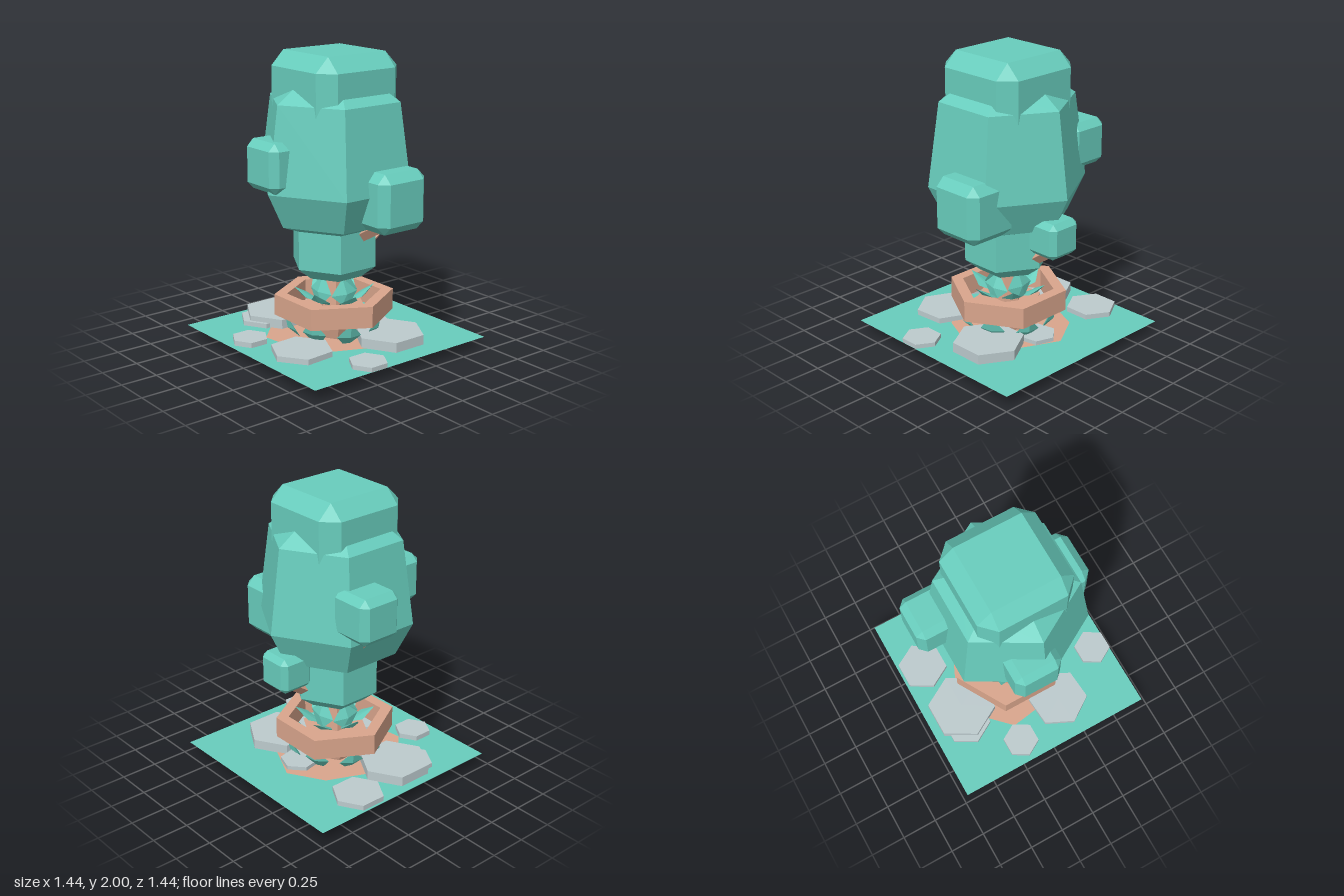
import * as THREE from 'three';
import { ConvexGeometry } from 'three/addons/geometries/ConvexGeometry.js';

const mat = (color) => new THREE.MeshStandardMaterial({ color, flatShading: true, side: THREE.DoubleSide });
const V = (x, y, z) => new THREE.Vector3(x, y, z);

export function createModel() {
  const root = new THREE.Group();
  const leaf = mat(0x68cdbd), wood = mat(0xd9a58c), stone = mat(0xbccacd);

  const add = (name, geometry, material, parent = root) => {
    const mesh = new THREE.Mesh(geometry, material);
    mesh.name = name;
    parent.add(mesh);
    return mesh;
  };

  // Six-sided lathe with one corner pointing at +z
  const hexLathe = (profile) =>
    new THREE.LatheGeometry(profile.map(([r, y]) => new THREE.Vector2(r, y)), 6);

  // Box with bevelled edges and triangular corners, from its limits
  const bevelBox = ([x0, x1], [y0, y1], [z0, z1], b) => {
    const h = [(x1 - x0) / 2, (y1 - y0) / 2, (z1 - z0) / 2];
    const pts = [];
    for (const sx of [-1, 1]) for (const sy of [-1, 1]) for (const sz of [-1, 1])
      for (let face = 0; face < 3; face++) {
        const p = h.map((v, i) => (i === face ? v : v - b));
        pts.push(V(sx * p[0], sy * p[1], sz * p[2]));
      }
    return new ConvexGeometry(pts).translate((x0 + x1) / 2, (y0 + y1) / 2, (z0 + z1) / 2);
  };

  // Square stick between two points
  const stick = (name, a, b, r) => {
    const m = add(name, new THREE.CylinderGeometry(r, r, a.distanceTo(b), 4), wood);
    m.position.copy(a).lerp(b, 0.5);
    m.quaternion.setFromUnitVectors(V(0, 1, 0), b.clone().sub(a).normalize());
  };

  // Ground sheet with a patch of bare earth
  const ground = add('ground', new THREE.PlaneGeometry(1.44, 1.44), leaf);
  ground.rotation.x = -Math.PI / 2;
  ground.position.y = 0.08;
  const patch = [[0.4, 0.02], [0.3, 0.25], [0.08, 0.4], [-0.18, 0.44], [-0.36, 0.26],
    [-0.4, -0.05], [-0.28, -0.32], [-0.04, -0.46], [0.24, -0.33]];
  const earth = add('earthPatch', new THREE.ShapeGeometry(
    new THREE.Shape(patch.map(([x, z]) => new THREE.Vector2(x, -z)))), wood);
  earth.rotation.x = -Math.PI / 2;
  earth.position.y = 0.083;

  // Irregular mound of soil under the sheet
  const foot = [[0.29, -0.13], [0.14, -0.24], [-0.12, -0.25], [-0.18, -0.14],
    [-0.18, 0.05], [-0.05, 0.24], [0.13, 0.24], [0.25, 0.06]];
  const rim = [[0.37, -0.17], [0.19, -0.34], [-0.2, -0.36], [-0.38, -0.25],
    [-0.34, 0.09], [-0.1, 0.39], [0.17, 0.4], [0.35, 0.1]];
  add('soilMound', new ConvexGeometry([
    ...foot.map(([x, z]) => V(x, 0, z)), ...rim.map(([x, z]) => V(x, 0.079, z))]), wood);

  // Flat paving stones: x, z, radius, top height, turn
  const stones = new THREE.Group();
  stones.name = 'stones';
  root.add(stones);
  [[-0.55, -0.275, 0.175, 0.115, 0], [-0.45, 0.14, 0.24, 0.147, 0], [-0.47, 0.25, 0.17, 0.112, 0],
    [-0.195, 0.56, 0.125, 0.115, 0], [0.19, 0.42, 0.21, 0.118, 0.08], [0.36, -0.185, 0.24, 0.147, 0],
    [0.605, 0.205, 0.13, 0.11, 0], [0.02, -0.3, 0.13, 0.11, 0.2]]
    .forEach(([x, z, r, top, turn]) => {
      const s = add('stone', new THREE.CylinderGeometry(r, r, top - 0.078, 6), stone, stones);
      s.position.set(x, (top + 0.078) / 2, z);
      s.rotation.y = turn;
    });

  // Planter: open six-sided frame around a tapered tub
  const hexPath = (P, r) => {
    const path = new P();
    for (let i = 0; i < 6; i++) {
      const a = (i * Math.PI) / 3;
      path[i ? 'lineTo' : 'moveTo'](r * Math.cos(a), r * Math.sin(a));
    }
    path.closePath();
    return path;
  };
  const frame = hexPath(THREE.Shape, 0.405);
  frame.holes.push(hexPath(THREE.Path, 0.32));
  add('planterFrame', new THREE.ExtrudeGeometry(frame, { depth: 0.145, bevelEnabled: false })
    .rotateX(-Math.PI / 2).translate(0, 0.22, 0), wood);
  add('planterTub', new THREE.CylinderGeometry(0.23, 0.17, 0.19, 6).translate(0, 0.175, 0), wood);

  // Trunk and branches
  add('trunk', new THREE.CylinderGeometry(0.075, 0.1, 0.36, 6).translate(0, 0.4, 0), wood);
  stick('rightBranch', V(-0.25, 0.93, -0.13), V(-0.52, 1.2, -0.15), 0.038);
  stick('leftBranch', V(0.17, 0.77, -0.04), V(0.5, 0.96, -0.08), 0.045);
  stick('backBranch', V(0, 0.6, -0.2), V(0, 0.78, -0.46), 0.045);

  // Pointed leaves: each is a ridged blade leaning outward
  const blade = (w, h, lean) => new ConvexGeometry([
    V(-w * 0.3, 0, 0), V(w * 0.3, 0, 0), V(-w, h * 0.4, lean * 0.5), V(w, h * 0.4, lean * 0.5),
    V(0, h * 0.4, lean * 0.5 + 0.03), V(0, h, lean)]);
  const leafRing = (name, count, turn, r, y, w, h, lean) => {
    const ring = new THREE.Group();
    ring.name = name;
    root.add(ring);
    for (let i = 0; i < count; i++) {
      const a = turn + (i * 2 * Math.PI) / count;
      const b = add('leafBlade', blade(w, h * (1 - 0.15 * (i % 2)), lean), leaf, ring);
      b.position.set(r * Math.sin(a), y, r * Math.cos(a));
      b.rotation.y = a;
    }
  };
  leafRing('lowerLeaves', 8, 0.45, 0.25, 0.08, 0.085, 0.2, 0.1);
  leafRing('planterLeaves', 6, 0.4, 0.1, 0.3, 0.07, 0.12, 0.17);
  leafRing('trunkLeaves', 4, 0, 0.13, 0.31, 0.11, 0.2, -0.04);

  // Main foliage
  add('lowerFoliage', hexLathe([[0, 0.495], [0.195, 0.495], [0.295, 0.575], [0.295, 0.86]]), leaf);
  add('mainFoliage', hexLathe([[0, 0.835], [0.29, 0.835], [0.42, 0.885], [0.535, 1.12],
    [0.455, 1.69], [0.3, 1.795], [0, 1.795]]), leaf);
  add('crown', bevelBox([-0.33, 0.33], [1.5, 2], [-0.33, 0.33], 0.097), leaf);

  // Small foliage clumps
  add('frontClump', bevelBox([-0.23, 0.1], [1.13, 1.46], [0.25, 0.565], 0.048), leaf);
  add('rightClump', bevelBox([-0.625, -0.31], [1.17, 1.485], [-0.305, 0.01], 0.046), leaf);
  add('leftClump', bevelBox([0.21, 0.6], [0.885, 1.28], [-0.305, 0.085], 0.058), leaf);
  add('backClump', bevelBox([-0.125, 0.125], [0.725, 0.97], [-0.535, -0.29], 0.036), leaf);

  return root;
}
